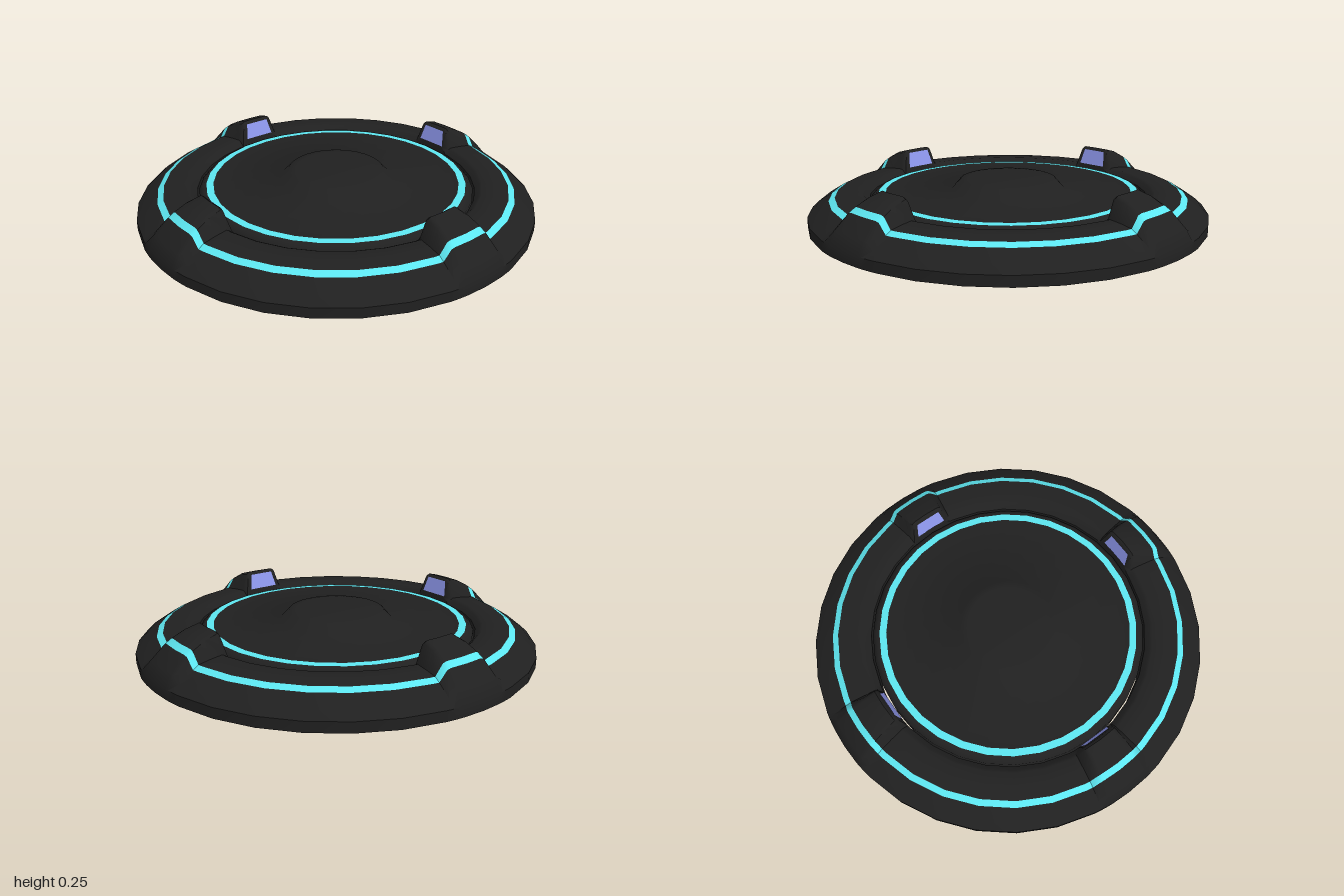
import * as THREE from 'three';
import { toCreasedNormals } from 'three/addons/utils/BufferGeometryUtils.js';

const SIDES = 32;
const dark = new THREE.MeshStandardMaterial({ color: 0x202020 });
const cyan = new THREE.MeshStandardMaterial({ color: 0x5ce6f0 });
const violet = new THREE.MeshStandardMaterial({ color: 0x8f98ee, side: THREE.DoubleSide });

// Rim cross-section from outer foot over the top to inner foot: [radius, height, height on a raised lug]
const RIM = [
  [1, 0, 0], [1, 0.05, 0.05], [0.965, 0.082, 0.11], [0.895, 0.125, 0.178],
  [0.865, 0.14, 0.198], [0.8, 0.147, 0.232], [0.735, 0.15, 0.25],
  [0.722, 0.143, 0.24], [0.7, 0.12, 0.15], [0.7, 0, 0], [1, 0, 0],
];

// Angles round the rim, with extra stations where each lug ramps up: [angle, lug amount]
function rimStations() {
  const stations = [];
  const step = (Math.PI * 2) / SIDES;
  for (let i = 0; i < SIDES; i++) {
    const isLug = i % (SIDES / 4) === 0;
    const a = i * step;
    if (isLug) {
      for (const [d, f] of [[-0.165, 0], [-0.122, 0.9], [-0.1, 1], [0, 1], [0.1, 1], [0.122, 0.9], [0.165, 0]]) {
        stations.push([a + d, f]);
      }
    } else stations.push([a, 0]);
  }
  return stations;
}

// Sweep part of the rim cross-section round the full circle
function sweepRim(section) {
  const stations = rimStations();
  const n = section.length;
  const pos = [];
  const index = [];
  stations.forEach(([a, f], i) => {
    const next = (i + 1) % stations.length;
    section.forEach(([r, low, high], j) => {
      pos.push(r * Math.sin(a), low + (high - low) * f, r * Math.cos(a));
      if (j < n - 1) {
        const p = i * n + j;
        const q = next * n + j;
        index.push(p, q, q + 1, p, q + 1, p + 1);
      }
    });
  });
  const geo = new THREE.BufferGeometry();
  geo.setAttribute('position', new THREE.Float32BufferAttribute(pos, 3));
  geo.setIndex(index);
  geo.computeVertexNormals();
  return toCreasedNormals(geo, 0.75);
}

function turned(points) {
  const geo = new THREE.LatheGeometry(points.map(([x, y]) => new THREE.Vector2(x, y)), SIDES);
  return toCreasedNormals(geo, 1);
}

export function createModel() {
  const model = new THREE.Group();
  const add = (name, geo, mat) => {
    const mesh = new THREE.Mesh(geo, mat);
    mesh.name = name;
    model.add(mesh);
    return mesh;
  };

  // Outer rim with four raised lugs and a light strip that climbs over them
  add('rimSkirt', sweepRim(RIM.slice(0, 4)), dark);
  add('rimLightStrip', sweepRim(RIM.slice(3, 5)), cyan);
  add('rimTop', sweepRim(RIM.slice(4)), dark);

  // Central platform, separated from the rim by a thin gap
  add('platformEdge', turned([[0, 0], [0.692, 0], [0.692, 0.115], [0.67, 0.138], [0.655, 0.142]]), dark);
  add('platformLightRing', turned([[0.655, 0.142], [0.62, 0.144]]), cyan);
  add('platformDeck', turned([[0.62, 0.144], [0.285, 0.147], [0.24, 0.196], [0.2, 0.2], [0, 0.2]]), dark);

  // Tapered light panel on the inner face of each lug
  const panel = new THREE.PlaneGeometry(1, 1);
  const p = panel.attributes.position;
  for (let i = 0; i < p.count; i++) {
    const top = p.getY(i) > 0;
    p.setXYZ(i, Math.sign(p.getX(i)) * (top ? 0.066 : 0.083), top ? 0.236 : 0.156, top ? -0.715 : -0.695);
  }
  panel.computeVertexNormals();
  for (let k = 0; k < 4; k++) add('lugPanel', panel, violet).rotation.y = (k * Math.PI) / 2;

  return model;
}
